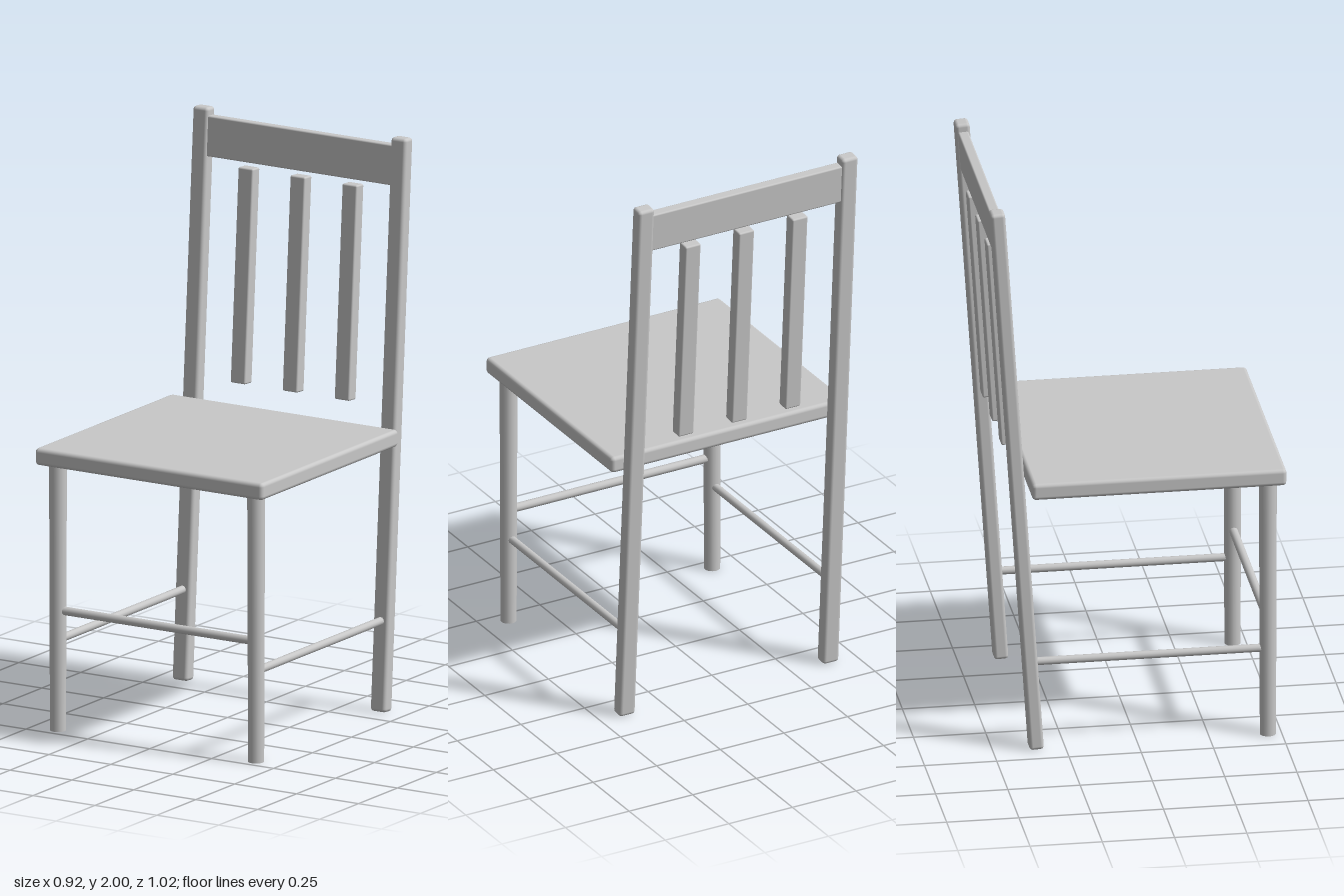
import * as THREE from 'three';
import { RoundedBoxGeometry } from 'three/addons/geometries/RoundedBoxGeometry.js';

export function createModel() {
  const chair = new THREE.Group();
  chair.name = 'chair';
  const grey = new THREE.MeshStandardMaterial({ color: 0xc8c8c8 });
  grey.name = 'light grey';

  function add(parent, name, geometry, x, y, z) {
    const mesh = new THREE.Mesh(geometry, grey);
    mesh.name = name;
    mesh.position.set(x, y, z);
    parent.add(mesh);
    return mesh;
  }
  const board = (w, h, d, bevel) => new RoundedBoxGeometry(w, h, d, 2, bevel);

  // Seat slab with softened edges
  add(chair, 'seat', board(0.92, 0.06, 0.88, 0.014), 0, 0.97, 0.07);

  // Leaning back: posts, top rail and free-standing slats share one tilt
  const back = new THREE.Group();
  back.name = 'backrest';
  back.position.set(0, 1, -0.417);
  back.rotation.x = -0.0675;
  chair.add(back);
  for (const [side, x] of [['left', 0.4], ['right', -0.4]]) {
    add(back, side + 'BackPost', board(0.062, 2.002, 0.05, 0.012), x, 0, 0);
  }
  add(back, 'topRail', board(0.82, 0.142, 0.036, 0.006), 0, 0.902, 0);
  for (const x of [-0.21, 0, 0.21]) {
    add(back, 'backSlat', board(0.06, 0.752, 0.046, 0.006), x, 0.437, 0);
  }

  // Round front legs, slightly slimmer at the foot, and side stretchers
  for (const [side, x] of [['left', 0.4], ['right', -0.4]]) {
    add(chair, side + 'FrontLeg', new THREE.CylinderGeometry(0.031, 0.028, 0.95, 16), x, 0.475, 0.453);
    const bar = add(chair, side + 'Stretcher', new THREE.CylinderGeometry(0.014, 0.014, 0.81, 12), x, 0.32, 0.04);
    bar.rotation.x = Math.PI / 2;
  }

  // Front stretcher
  const front = add(chair, 'frontStretcher', new THREE.CylinderGeometry(0.015, 0.015, 0.78, 12), 0, 0.425, 0.453);
  front.rotation.z = Math.PI / 2;

  return chair;
}
